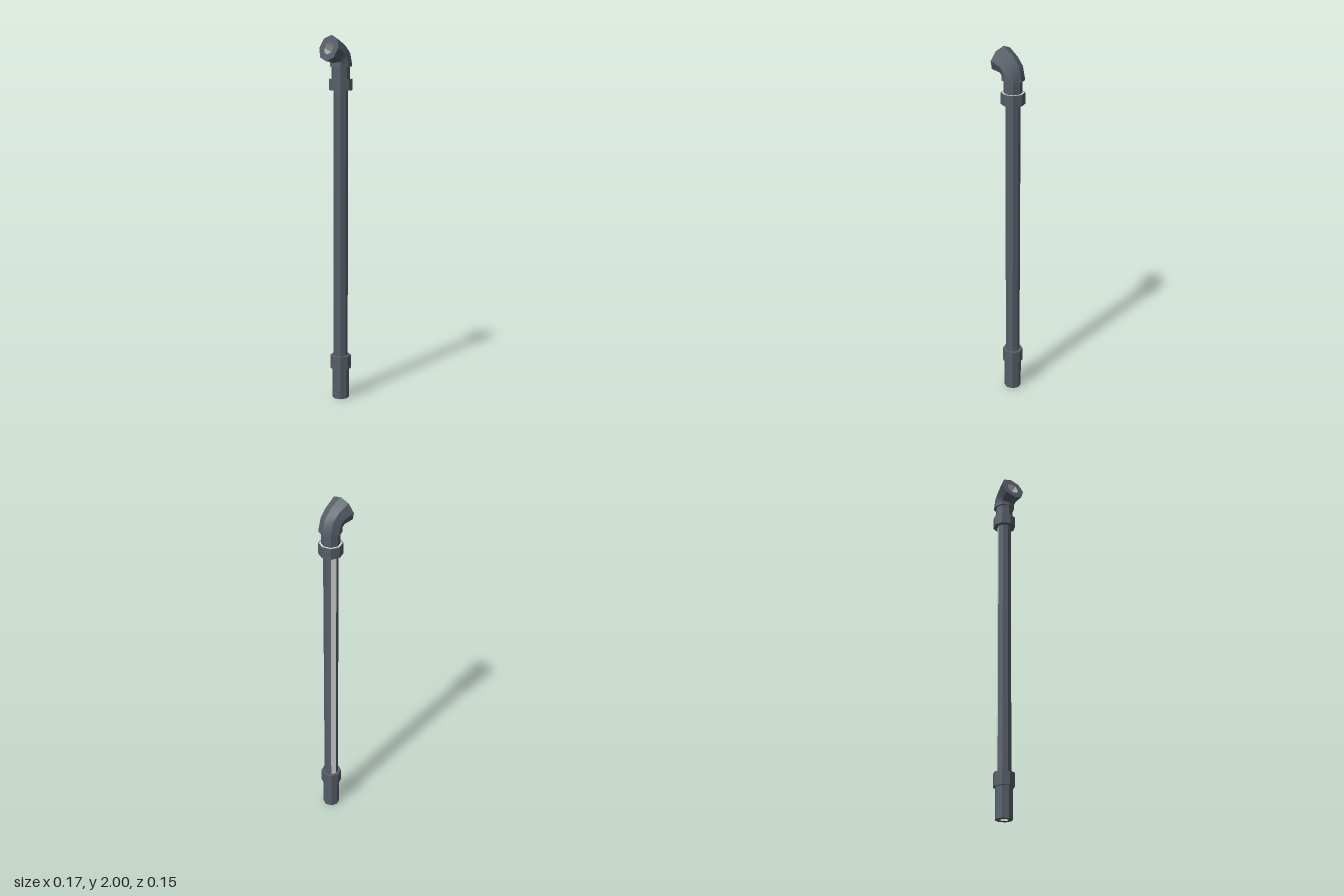
import * as THREE from 'three';
import { toCreasedNormals } from 'three/addons/utils/BufferGeometryUtils.js';

const SIDES = 8;
const AXIS_X = 0.02;
const BORE = 0.48;

const steel = new THREE.MeshStandardMaterial({ color: 0x565e68 });
steel.name = 'dark steel';
const lining = new THREE.MeshStandardMaterial({ color: 0xdddbdc });
lining.name = 'pale lining';

// Octagonal turned part; profile is [radius, y] pairs, optionally a partial sweep
function turned(name, material, profile, start = 0, sides = SIDES) {
  const points = profile.map(([r, y]) => new THREE.Vector2(r, y));
  const geometry = new THREE.LatheGeometry(points, sides, start, (sides * Math.PI * 2) / SIDES);
  const mesh = new THREE.Mesh(toCreasedNormals(geometry, 0.6), material);
  mesh.name = name;
  mesh.position.x = AXIS_X;
  return mesh;
}

// Skin over octagonal rings: [outerX, outerY, innerX, innerY, halfWidthZ, scale]
function ringSkin(name, material, rings) {
  const positions = [];
  const index = [];
  rings.forEach(([ox, oy, ix, iy, w, s], i) => {
    for (let k = 0; k < SIDES; k++) {
      const t = (k / SIDES) * Math.PI * 2;
      const c = (Math.cos(t) * s) / 2;
      positions.push((ox + ix) / 2 + (ox - ix) * c, (oy + iy) / 2 + (oy - iy) * c, w * s * Math.sin(t));
      if (i < rings.length - 1) {
        const a = i * SIDES + k;
        const b = i * SIDES + ((k + 1) % SIDES);
        index.push(a, a + SIDES, b, b, a + SIDES, b + SIDES);
      }
    }
  });
  const geometry = new THREE.BufferGeometry();
  geometry.setAttribute('position', new THREE.Float32BufferAttribute(positions, 3));
  geometry.setIndex(index);
  const mesh = new THREE.Mesh(toCreasedNormals(geometry, 0.6), material);
  mesh.name = name;
  return mesh;
}

export function createModel() {
  const model = new THREE.Group();
  model.name = 'pipe';

  // Lower end with an open bore
  model.add(turned('lowerSleeve', steel, [[0.024, 0], [0.047, 0], [0.047, 0.18]]));
  model.add(turned('lowerBore', lining, [[0, 0.15], [0.024, 0.15], [0.024, 0]]));
  model.add(turned('lowerCollar', steel, [[0.03, 0.17], [0.057, 0.17], [0.057, 0.245], [0.03, 0.245]]));

  // Long shaft: seven steel sides and one pale side at the back
  const shaft = [[0.039, 0.24], [0.039, 1.72]];
  model.add(turned('shaft', steel, shaft, Math.PI, 7));
  model.add(turned('shaftPanel', lining, shaft, Math.PI * 0.75, 1));

  // Upper collar with a pale seam on its top, and the neck above
  model.add(turned('upperCollar', steel, [[0.03, 1.71], [0.063, 1.71], [0.063, 1.77], [0.059, 1.77]]));
  model.add(turned('collarSeam', lining, [[0.059, 1.77], [0.04, 1.77]]));
  model.add(turned('neck', steel, [[0.049, 1.765], [0.049, 1.84]]));

  // Elbow bending towards -x and flaring at the mouth
  const bend = [
    [0.08, 1.835, -0.038, 1.835, 0.06],
    [0.078, 1.855, -0.037, 1.842, 0.06],
    [0.062, 1.915, -0.035, 1.852, 0.06],
    [0.02, 1.96, -0.041, 1.858, 0.062],
    [-0.047, 2.0, -0.087, 1.863, 0.073],
  ];
  const at = (i, scale) => [...bend[i], scale];
  model.add(ringSkin('elbow', steel, [at(0, 0.5), ...bend.map((_, i) => at(i, 1)), at(4, BORE)]));
  model.add(ringSkin('elbowBore', lining, [at(4, BORE), at(3, BORE), at(2, BORE), at(1, BORE), at(1, 0.01)]));

  return model;
}
